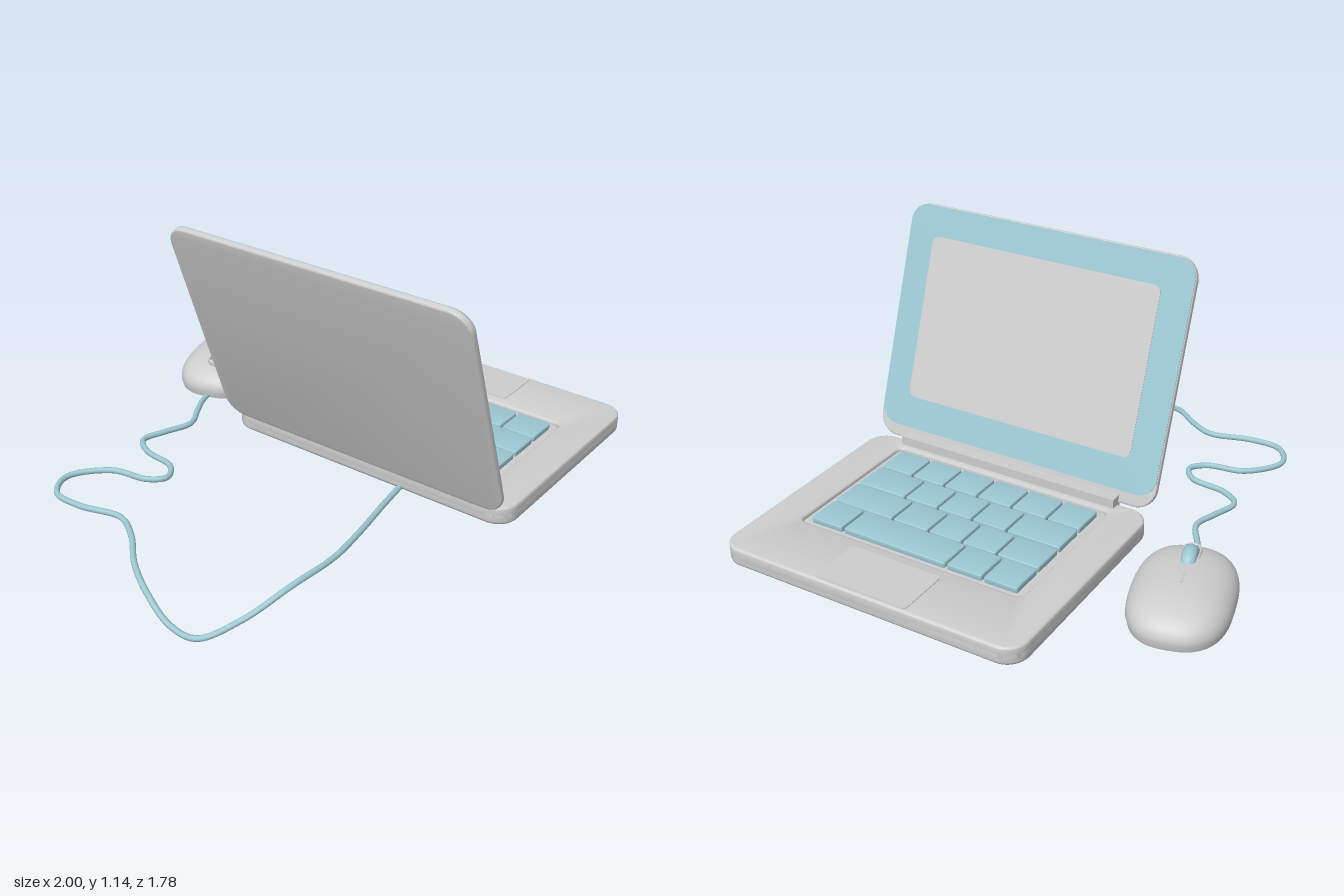
import * as THREE from 'three';
import { toCreasedNormals } from 'three/addons/utils/BufferGeometryUtils.js';

const material = (name, color) => {
  const m = new THREE.MeshStandardMaterial({ color });
  m.name = name;
  return m;
};

// Rounded rectangle centred on (cx, cy)
function roundedRect(w, h, r, cx = 0, cy = 0, Type = THREE.Shape) {
  const s = new Type();
  const x = w / 2 - r, y = h / 2 - r;
  s.absarc(cx + x, cy + y, r, 0, Math.PI / 2);
  s.absarc(cx - x, cy + y, r, Math.PI / 2, Math.PI);
  s.absarc(cx - x, cy - y, r, Math.PI, Math.PI * 1.5);
  s.absarc(cx + x, cy - y, r, Math.PI * 1.5, Math.PI * 2);
  s.closePath();
  return s;
}

// Extrusion with total thickness t and softened edges of size b
function slab(shape, t, b = 0) {
  const g = new THREE.ExtrudeGeometry(shape, {
    depth: t - 2 * b, bevelEnabled: b > 0, bevelSize: b, bevelThickness: b,
    bevelOffset: -b, bevelSegments: 3, curveSegments: 10,
  });
  g.translate(0, 0, b);
  return toCreasedNormals(g, 0.6);
}

export function createModel() {
  const grey = material('light grey', 0xcdcdcd);
  const blue = material('pale blue', 0x9cc7d2);
  const model = new THREE.Group();
  const add = (parent, name, geometry, mat, x = 0, y = 0, z = 0) => {
    const mesh = new THREE.Mesh(geometry, mat);
    mesh.name = name;
    mesh.position.set(x, y, z);
    parent.add(mesh);
    return mesh;
  };
  const midZ = 0.255;
  const flat = (shape, t, b) => slab(shape, t, b).rotateX(-Math.PI / 2);

  // Base: solid lower slab, upper slab with an opening for the keyboard
  const base = new THREE.Group();
  base.name = 'base';
  model.add(base);
  add(base, 'lowerCase', flat(roundedRect(0.96, 1.27, 0.085), 0.058, 0.014), grey, 0.52, 0.16, midZ);
  const deck = roundedRect(0.96, 1.27, 0.085);
  deck.holes.push(roundedRect(0.625, 0.97, 0.03, -0.103, 0, THREE.Path));
  add(base, 'upperCase', flat(deck, 0.055, 0.01), grey, 0.52, 0.18, midZ);
  add(base, 'trackpad', flat(roundedRect(0.215, 0.39, 0.015), 0.004), grey, 0.88, 0.234, 0.265);
  add(base, 'hinge', new THREE.BoxGeometry(0.05, 0.05, 0.98), grey, 0.055, 0.247, midZ);

  // Keys: each bank lists the dividing lines between its keys along z
  const banks = [
    [0.13, [-0.2, -0.053, 0.103, 0.258, 0.412, 0.562, 0.713]],
    [0.275, [-0.2, 0.033, 0.185, 0.34, 0.492, 0.713]],
    [0.42, [-0.2, -0.018, 0.132, 0.28, 0.442, 0.713]],
    [0.563, [-0.2, -0.053, 0.103, 0.562, 0.713]],
  ];
  const keys = new THREE.Group();
  keys.name = 'keys';
  base.add(keys);
  for (const [x, cuts] of banks) {
    for (let i = 0; i < cuts.length - 1; i++) {
      const length = cuts[i + 1] - cuts[i] - 0.01;
      add(keys, 'key', flat(roundedRect(0.136, length, 0.008), 0.026, 0.004), blue,
        x + 0.07, 0.214, (cuts[i] + cuts[i + 1]) / 2);
    }
  }

  // Lid: leans back about the hinge, display side facing +x
  const lid = new THREE.Group();
  lid.name = 'lid';
  lid.position.set(0.043, 0.243, midZ);
  lid.rotation.z = THREE.MathUtils.degToRad(20);
  model.add(lid);
  const upright = (shape, t, b) => slab(shape, t, b).rotateY(Math.PI / 2);
  add(lid, 'lidShell', upright(roundedRect(1.27, 0.96, 0.085, 0, 0.48), 0.026, 0.006), grey, -0.026);
  add(lid, 'displayFrame', upright(roundedRect(1.262, 0.907, 0.075, 0, 0.5025), 0.003), blue, -0.001);
  add(lid, 'display', upright(roundedRect(1.02, 0.66, 0.03, -0.005, 0.507), 0.003), grey, 0.001);

  // Mouse: domed profile spread over a squarish oval
  const mouse = new THREE.Group();
  mouse.name = 'mouse';
  mouse.position.set(0.4, 0, -0.685);
  mouse.rotation.y = THREE.MathUtils.degToRad(15);
  model.add(mouse);
  const profile = [[0, 0.156], [0.93, 0.156], [0.97, 0.162]].map(p => new THREE.Vector2(...p));
  for (let i = 0; i <= 14; i++) {
    const t = (i / 14) * Math.PI / 2;
    const r = i === 14 ? 0 : Math.cos(t) ** 0.85;
    profile.push(new THREE.Vector2(r, 0.19 + 0.109 * Math.sin(t) ** 0.9));
  }
  const shell = new THREE.LatheGeometry(profile, 56);
  const pos = shell.attributes.position;
  for (let i = 0; i < pos.count; i++) {
    const x = pos.getX(i), z = pos.getZ(i), r = Math.hypot(x, z);
    if (r < 1e-6) continue;
    const n = 2.6;
    const k = (Math.abs(x / r) ** n + Math.abs(z / r) ** n) ** (-1 / n);
    pos.setX(i, x * k * 0.272);
    pos.setZ(i, z * k * 0.187);
  }
  add(mouse, 'mouseShell', toCreasedNormals(shell, 0.7), grey);

  // Scroll wheel with rounded rim, its surround and the button seam
  const rim = [[0, -0.026], [0.055, -0.026], [0.066, -0.019], [0.071, 0],
    [0.066, 0.019], [0.055, 0.026], [0, 0.026]].map(p => new THREE.Vector2(...p));
  const wheel = toCreasedNormals(new THREE.LatheGeometry(rim, 32), 0.8).rotateX(Math.PI / 2);
  add(mouse, 'scrollWheel', wheel, blue, -0.11, 0.26, 0);
  const surround = roundedRect(0.17, 0.07, 0.034);
  surround.holes.push(roundedRect(0.148, 0.054, 0.026, 0, 0, THREE.Path));
  add(mouse, 'wheelSurround', flat(surround, 0.03, 0.004), grey, -0.11, 0.265, 0);
  add(mouse, 'buttonSeam', new THREE.BoxGeometry(0.09, 0.006, 0.006), grey, 0.015, 0.297, 0);

  // Cable: winds from the mouse round to the back of the base
  const path = [
    [0.17, 0.168, -0.62], [0.1, 0.168, -0.6], [0.03, 0.168, -0.565], [-0.075, 0.168, -0.512],
    [-0.18, 0.168, -0.545], [-0.285, 0.168, -0.575], [-0.343, 0.168, -0.5], [-0.37, 0.168, -0.355],
    [-0.44, 0.168, -0.308], [-0.495, 0.168, -0.36], [-0.53, 0.168, -0.51], [-0.665, 0.168, -0.615],
    [-0.77, 0.168, -0.56], [-0.78, 0.168, -0.43], [-0.742, 0.168, -0.26], [-0.8, 0.164, -0.15],
    [-0.9, 0.147, -0.04], [-0.96, 0.112, 0.07], [-0.987, 0.047, 0.2], [-0.96, 0.019, 0.29],
    [-0.85, 0.08, 0.4], [-0.68, 0.162, 0.484], [-0.475, 0.17, 0.507], [-0.29, 0.17, 0.487],
    [-0.1, 0.17, 0.455], [0.08, 0.172, 0.43],
  ].map(p => new THREE.Vector3(...p));
  const curve = new THREE.CatmullRomCurve3(path);
  add(model, 'cable', new THREE.TubeGeometry(curve, 220, 0.0115, 10), blue);

  return model;
}
